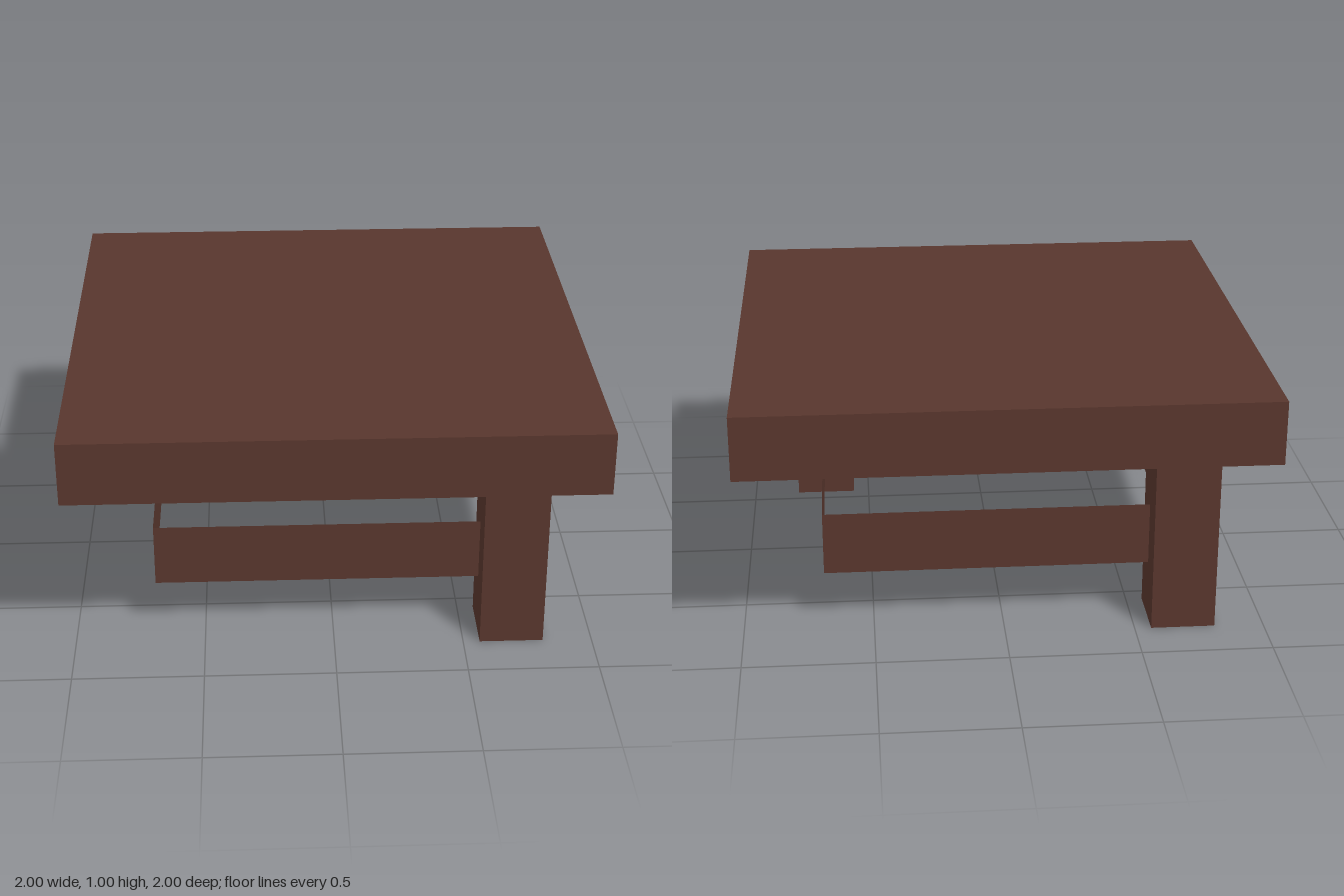
import * as THREE from 'three';

export function createModel() {
  const group = new THREE.Group();
  const wood = new THREE.MeshStandardMaterial({ color: 0x58362d, side: THREE.DoubleSide });
  wood.name = 'dark brown wood';

  const add = (name, geometry, x, y, z, turn = 0) => {
    const mesh = new THREE.Mesh(geometry, wood);
    mesh.name = name;
    mesh.position.set(x, y, z);
    mesh.rotation.y = turn;
    group.add(mesh);
  };

  const thick = 0.246;      // shared thickness of top, legs and rails
  const inset = 0.687;      // leg centre lines and rail planes
  const legHeight = 1 - thick;

  // Square slab top
  add('tableTop', new THREE.BoxGeometry(2, thick, 2), 0, 1 - thick / 2, 0);

  // Two legs on opposite corners
  const legGeometry = new THREE.BoxGeometry(thick, legHeight, thick);
  add('frontLeftLeg', legGeometry, inset, legHeight / 2, inset);
  add('backRightLeg', legGeometry, -inset, legHeight / 2, -inset);

  // Square ring of paper-thin rails running between the leg centre lines
  const railGeometry = new THREE.PlaneGeometry(inset * 2, thick);
  ['frontRail', 'leftRail', 'backRail', 'rightRail'].forEach((name, i) => {
    const turn = i * Math.PI / 2;
    add(name, railGeometry, inset * Math.sin(turn), 0.345, inset * Math.cos(turn), turn);
  });

  return group;
}
